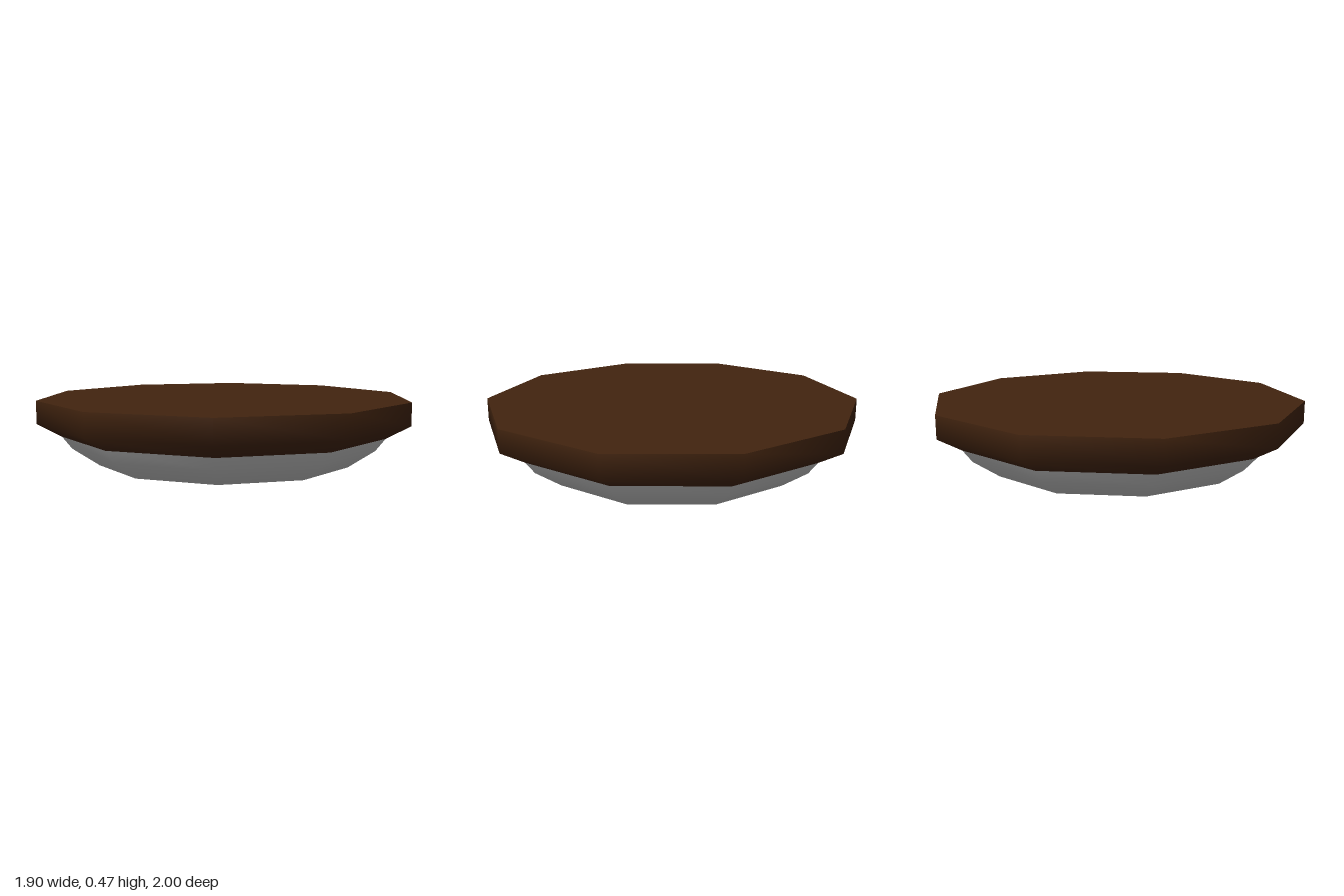
import * as THREE from 'three';

const SIDES = 10;

// Ten-sided smooth shell from [radius, y] pairs, listed bottom to top
function shell(name, profile, material) {
  const points = profile.map(([r, y]) => new THREE.Vector2(r, y));
  const mesh = new THREE.Mesh(new THREE.LatheGeometry(points, SIDES), material);
  mesh.name = name;
  return mesh;
}

export function createModel() {
  const wood = new THREE.MeshStandardMaterial({ color: 0x42240f });
  wood.name = 'dark brown';
  const glass = new THREE.MeshStandardMaterial({ color: 0xcccccc });
  glass.name = 'light grey';

  const lamp = new THREE.Group();
  lamp.name = 'ceilingLamp';

  // Brown mounting rim: upright band over an inward bevel
  lamp.add(shell('mountingRim', [[0.875, 0.275], [1, 0.345], [1, 0.465]], wood));

  // Flat top plate, a corner pointing to the front
  const top = new THREE.Mesh(new THREE.CircleGeometry(1, SIDES, Math.PI / 2), wood);
  top.name = 'topPlate';
  top.rotation.x = -Math.PI / 2;
  top.position.y = 0.465;
  lamp.add(top);

  // Shallow shade coming to a point at the bottom
  lamp.add(shell('shade', [[0, 0], [0.685, 0.115], [0.825, 0.21], [0.875, 0.275]], glass));

  return lamp;
}
